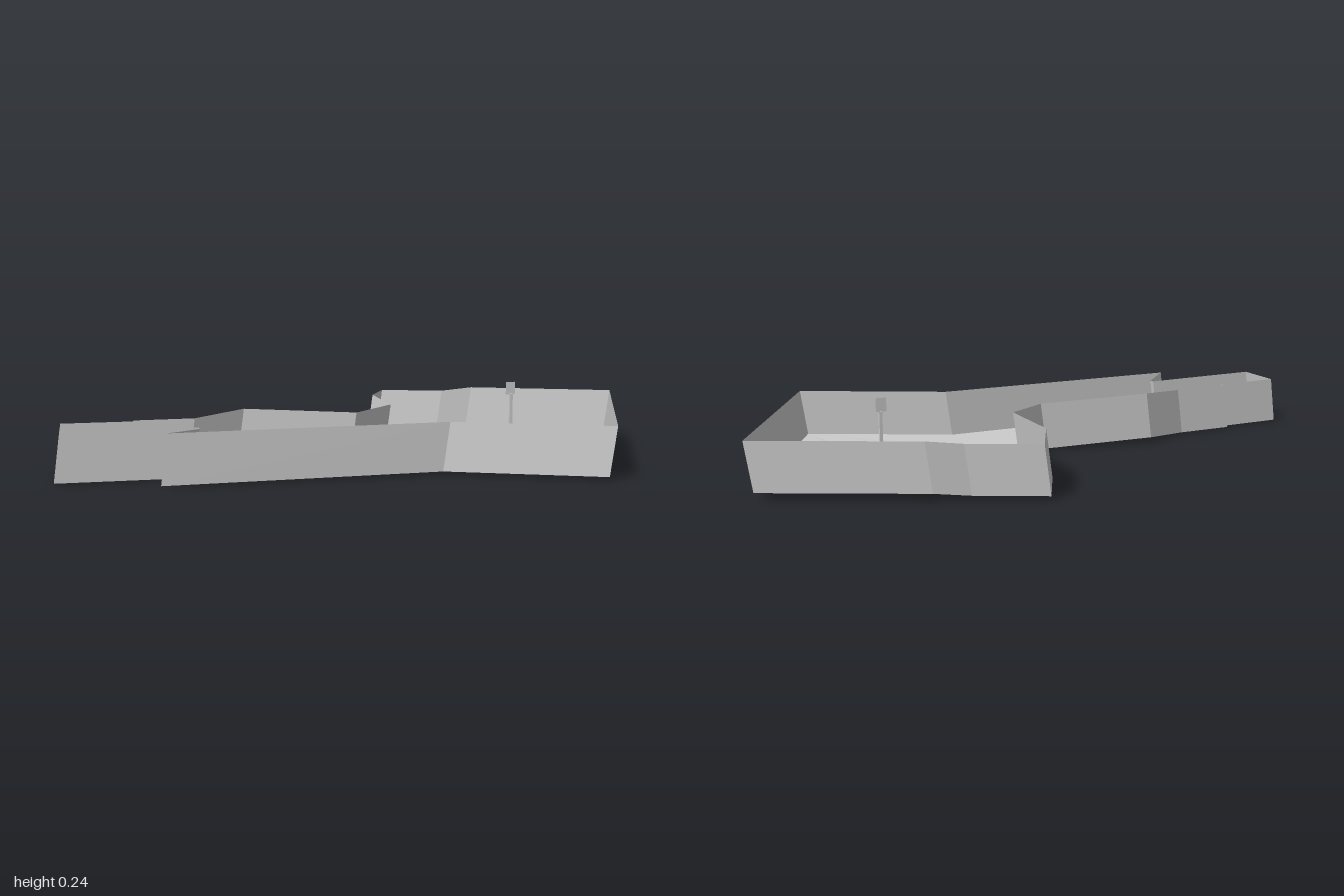
import * as THREE from 'three';

const WALL_HEIGHT = 0.158;
const LEAN = 0.022; // sideways shift of the wall tops

// Floor outline, counter-clockwise seen from above: [x, floor height, z]
const OUTLINE = [
  [-1.0, 0.005, 0.02], [-1.0, 0.005, 0.18], [-0.585, 0.002, 0.18], [-0.585, 0.0, 0.2],
  [-0.69, 0.006, 0.3], [0.19, 0.008, 0.3], [0.655, 0.01, 0.52], [0.978, 0.028, -0.18],
  [0.51, 0.027, -0.4], [0.4, 0.014, -0.425], [0.19, 0.012, -0.52], [0.11, 0.015, -0.36],
  [0.11, 0.012, -0.11], [-0.04, 0.004, 0.0], [-0.41, 0.02, -0.07], [-0.58, 0.004, 0.0],
  [-0.775, 0.004, 0.0], [-0.775, 0.004, 0.02],
];
const CREASE = [0.08, 0.006, 0.02]; // inner end of the crease along the lane

function meshOf(name, geometry, material) {
  const mesh = new THREE.Mesh(geometry, material);
  mesh.name = name;
  return mesh;
}

function surface(points, indices) {
  const indexed = new THREE.BufferGeometry();
  indexed.setAttribute('position', new THREE.Float32BufferAttribute(points.flat(), 3));
  indexed.setIndex(indices);
  const geometry = indexed.toNonIndexed();
  geometry.computeVertexNormals();
  return geometry;
}

// Fill a floor polygon whose corners have their own heights
function floorGeometry(points) {
  const flat = points.map(([x, , z]) => new THREE.Vector2(x, -z));
  return surface(points, THREE.ShapeUtils.triangulateShape(flat, []).flat());
}

// Continuous leaning wall around the outline
function wallGeometry() {
  const points = OUTLINE.flatMap(([x, y, z]) => [[x, y, z], [x + LEAN, y + WALL_HEIGHT, z]]);
  const indices = [];
  const n = OUTLINE.length;
  for (let i = 0; i < n; i++) {
    const a = 2 * i, b = 2 * ((i + 1) % n);
    indices.push(a, b, b + 1, a, b + 1, a + 1);
  }
  return surface(points, indices);
}

export function createModel() {
  const grey = new THREE.MeshStandardMaterial({ color: 0xcccccc });
  grey.side = THREE.DoubleSide;
  const model = new THREE.Group();
  model.name = 'golfLane';

  // Floor: long lane, side bump and wide green
  const P = OUTLINE;
  model.add(
    meshOf('laneFloor', floorGeometry([...P.slice(0, 6), CREASE, P[17]]), grey),
    meshOf('bumpFloor', floorGeometry([P[17], CREASE, P[13], P[14], P[15], P[16]]), grey),
    meshOf('greenFloor', floorGeometry([CREASE, ...P.slice(5, 14)]), grey),
    meshOf('wall', wallGeometry(), grey),
  );

  // Round target on the green
  const target = new THREE.Group();
  target.name = 'target';
  target.position.set(0.555, 0.016, -0.05);
  const profile = [
    [0.15, -0.004], [0.15, 0.003], [0.133, 0.013], [0.108, 0.015], [0.1, 0.022],
    [0.075, 0.031], [0.04, 0.036], [0, 0.037],
  ].map(([r, y]) => new THREE.Vector2(r, y));
  target.add(meshOf('targetDome', new THREE.LatheGeometry(profile, 40), grey));

  // Small wedges on the diagonals of the dome
  for (let i = 0; i < 4; i++) {
    const angle = Math.PI / 4 + (i * Math.PI) / 2;
    const wedge = meshOf('domeWedge', new THREE.CylinderGeometry(0.016, 0.016, 0.02, 3), grey);
    wedge.position.set(0.078 * Math.sin(angle), 0.03, 0.078 * Math.cos(angle));
    wedge.rotation.y = angle;
    target.add(wedge);
  }

  // Centre block, pole and flat flag
  const block = meshOf('centreBlock', new THREE.BoxGeometry(0.046, 0.04, 0.046), grey);
  block.position.y = 0.052;
  const pole = meshOf('pole', new THREE.BoxGeometry(0.01, 0.12, 0.01), grey);
  pole.position.y = 0.126;
  const flag = meshOf('flag', new THREE.PlaneGeometry(0.034, 0.044), grey);
  flag.position.set(-0.003, 0.206, 0);
  target.add(block, pole, flag);

  model.add(target);
  return model;
}
